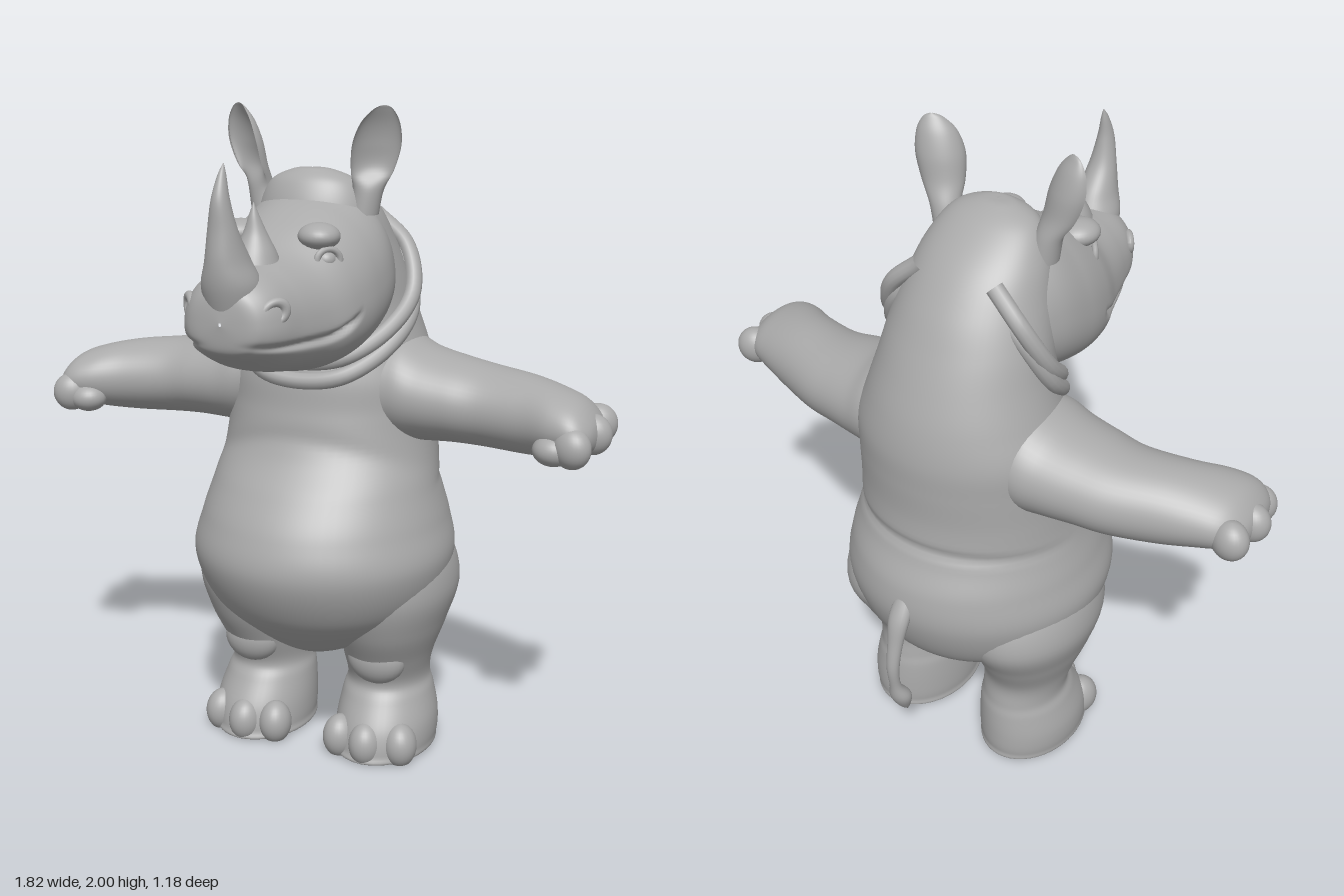
import * as THREE from 'three';

const hide = new THREE.MeshStandardMaterial({ color: 0xaaaaaa });
hide.name = 'grey hide';

// Smooth interpolation through rows of numbers
function rowAt(rows, t) {
  const f = t * (rows.length - 1);
  const i = Math.min(Math.floor(f), rows.length - 2);
  const u = f - i;
  const at = (k) => rows[Math.max(0, Math.min(rows.length - 1, k))];
  return rows[i].map((b, c) => {
    const a = at(i - 1)[c], d = at(i + 1)[c], e = at(i + 2)[c];
    return b + 0.5 * u * (d - a + u * (2 * a - 5 * b + 4 * d - e + u * (3 * (b - d) + e - a)));
  });
}

// Turn the faces outward if the solid came out inside out
function orient(geo) {
  const p = geo.attributes.position, ix = geo.index.array;
  const a = new THREE.Vector3(), b = new THREE.Vector3(), c = new THREE.Vector3();
  let volume = 0;
  for (let i = 0; i < ix.length; i += 3) {
    a.fromBufferAttribute(p, ix[i]);
    b.fromBufferAttribute(p, ix[i + 1]);
    c.fromBufferAttribute(p, ix[i + 2]);
    volume += a.dot(b.cross(c));
  }
  if (volume < 0) for (let i = 0; i < ix.length; i += 3) [ix[i], ix[i + 1]] = [ix[i + 1], ix[i]];
  geo.computeVertexNormals();
  return geo;
}

// Closed skin over cross-sections; place(row, angle) gives a point
function loft(rows, place, along = 40, around = 40) {
  const pos = [], index = [];
  for (let i = 0; i <= along; i++) {
    const row = rowAt(rows, i / along);
    for (let j = 0; j < around; j++) {
      pos.push(...place(row, (j / around) * Math.PI * 2));
      if (i === along) continue;
      const k = i * around + j, n = i * around + ((j + 1) % around);
      index.push(k, n, k + around, n, n + around, k + around);
    }
  }
  const geo = new THREE.BufferGeometry();
  geo.setAttribute('position', new THREE.Float32BufferAttribute(pos, 3));
  geo.setIndex(index);
  return orient(geo);
}

const bump = (d, w) => Math.exp(-(d * d) / (w * w));

function ball(x, y, z, rx, ry, rz, turn = 0) {
  return new THREE.SphereGeometry(1, 28, 18).scale(rx, ry, rz).rotateY(turn).translate(x, y, z);
}

export function createModel() {
  const model = new THREE.Group();
  const add = (name, geo) => {
    const mesh = new THREE.Mesh(geo, hide);
    mesh.name = name;
    model.add(mesh);
  };
  const addPair = (name, geo) => {
    add('left ' + name, geo);
    add('right ' + name, orient(geo.clone().scale(-1, 1, 1)));
  };

  // Torso and neck: height, front z, back z, half width
  const torso = [
    [0.305, -0.06, -0.08, 0.004], [0.33, 0.04, -0.25, 0.12], [0.4, 0.14, -0.37, 0.25],
    [0.5, 0.24, -0.47, 0.36], [0.64, 0.3, -0.525, 0.408], [0.76, 0.275, -0.52, 0.385],
    [0.87, 0.21, -0.475, 0.355], [0.98, 0.13, -0.46, 0.338], [1.1, 0.1, -0.463, 0.33],
    [1.2, 0.09, -0.463, 0.325], [1.3, 0.07, -0.445, 0.29], [1.4, 0.06, -0.41, 0.26],
    [1.5, 0.07, -0.365, 0.24], [1.6, 0.09, -0.31, 0.215], [1.7, 0.09, -0.23, 0.185],
    [1.78, 0.06, -0.13, 0.135], [1.815, 0.02, -0.06, 0.06], [1.82, -0.01, -0.02, 0.004],
  ];
  add('torso', loft(torso, ([y, f, b, w], a) => {
    const s = Math.sin(a);
    const waist = 0.035 * bump(y - 0.87 + 0.03 * s, 0.016) * Math.max(0, -s);
    const chest = 0.02 * bump(y - 1.03 + 0.1 * Math.cos(a) ** 2, 0.03) * Math.max(0, s);
    const k = 1 - waist - chest;
    return [w * k * Math.cos(a), y, (f + b) / 2 + ((f - b) / 2) * k * s];
  }, 140, 64));

  // Head: z, top, bottom, half width; a groove forms the mouth
  const head = [
    [-0.24, 1.53, 1.5, 0.004], [-0.2, 1.66, 1.38, 0.17], [-0.06, 1.77, 1.315, 0.24],
    [0.08, 1.735, 1.275, 0.252], [0.2, 1.68, 1.265, 0.235], [0.3, 1.62, 1.28, 0.2],
    [0.4, 1.6, 1.3, 0.172], [0.48, 1.585, 1.335, 0.15], [0.53, 1.56, 1.36, 0.12],
    [0.555, 1.53, 1.385, 0.08], [0.565, 1.46, 1.45, 0.004],
  ];
  const power = (v, e) => Math.sign(v) * Math.abs(v) ** e;
  add('head', loft(head, ([z, t, b, w], a) => {
    const s = power(Math.sin(a), 0.87), c = power(Math.cos(a), 0.87);
    const y = (t + b) / 2 + ((t - b) / 2) * s;
    const lip = 1.39 + 2.5 * Math.max(0, 0.32 - z) ** 2 + 1.2 * Math.max(0, z - 0.48) ** 2;
    const groove = z > 0.17 ? 0.1 * bump(y - lip, 0.011) * Math.min(1, (z - 0.17) / 0.06) : 0;
    return [w * c * (1 - 0.13 * s) * (1 - groove), y, z];
  }, 110, 160));

  // Horns: height, z, half width, half depth
  const upright = ([y, z, rx, rz], a) => [rx * Math.cos(a), y, z + rz * Math.sin(a)];
  add('large horn', loft([
    [1.47, 0.485, 0.07, 0.07], [1.55, 0.495, 0.08, 0.085], [1.62, 0.515, 0.058, 0.072],
    [1.7, 0.54, 0.04, 0.042], [1.78, 0.55, 0.024, 0.028], [1.84, 0.54, 0.011, 0.014],
    [1.87, 0.53, 0.001, 0.001],
  ], upright));
  add('small horn', loft([
    [1.57, 0.355, 0.075, 0.085], [1.62, 0.355, 0.058, 0.062], [1.67, 0.355, 0.034, 0.034],
    [1.72, 0.36, 0.014, 0.015], [1.755, 0.362, 0.001, 0.001],
  ], upright));

  // Face details
  addPair('eye', ball(0.148, 1.59, 0.22, 0.03, 0.027, 0.03));
  addPair('eyelid', new THREE.TorusGeometry(0.031, 0.009, 10, 28).scale(1.15, 1, 1)
    .rotateY(0.9).translate(0.161, 1.59, 0.229));
  addPair('brow', ball(0.122, 1.652, 0.205, 0.06, 0.038, 0.066, 0.5));
  addPair('nostril rim', new THREE.TorusGeometry(0.028, 0.013, 12, 28).scale(1.2, 0.95, 1)
    .rotateZ(0.4).rotateY(0.85).translate(0.125, 1.485, 0.495));

  // Ears: height, x, z, half width, depth, how far the front bulges or hollows
  const ear = [
    [1.69, 0.155, -0.03, 0.045, 0.045, 1], [1.76, 0.172, -0.025, 0.045, 0.04, 0.8],
    [1.82, 0.195, 0, 0.062, 0.05, -0.5], [1.89, 0.212, 0.012, 0.07, 0.055, -0.7],
    [1.95, 0.222, 0.012, 0.056, 0.04, -0.7], [1.988, 0.228, 0.005, 0.028, 0.015, -0.5],
    [2, 0.23, 0, 0.003, 0.002, 0],
  ];
  const yaw = 0.5;
  addPair('ear', loft(ear, ([y, x, z, w, d, front], a) => {
    const side = w * Math.cos(a), s = Math.sin(a);
    const depth = d * s * (s > 0 ? front : 1);
    return [x + side * Math.cos(yaw) + depth * Math.sin(yaw), y,
      z - side * Math.sin(yaw) + depth * Math.cos(yaw)];
  }));

  // Neck folds
  [[0, 0], [0.055, -0.012]].forEach(([up, back], i) => {
    const half = [[0.13, 1.225, 0.06], [0.23, 1.3, -0.04], [0.262, 1.4, -0.15], [0.215, 1.53, -0.21], [0.12, 1.62, -0.2]];
    const point = ([x, y, z]) => new THREE.Vector3(x, y + up, z + back);
    const mirrored = half.map(([x, y, z]) => [-x, y, z]).reverse();
    const curve = new THREE.CatmullRomCurve3([...mirrored, [0, 1.205, 0.08], ...half].map(point));
    add('neck fold ' + (i + 1), new THREE.TubeGeometry(curve, 70, 0.026, 12));
  });

  // Arms: x, y, z, half height, half depth
  addPair('arm', loft([
    [0.1, 1.17, -0.17, 0.01, 0.01], [0.16, 1.17, -0.17, 0.14, 0.16], [0.25, 1.165, -0.17, 0.162, 0.185],
    [0.33, 1.15, -0.165, 0.143, 0.178], [0.42, 1.142, -0.16, 0.13, 0.165], [0.52, 1.133, -0.152, 0.122, 0.15],
    [0.65, 1.128, -0.115, 0.115, 0.14], [0.75, 1.125, -0.075, 0.1, 0.143], [0.82, 1.12, -0.055, 0.08, 0.132],
    [0.865, 1.11, -0.05, 0.045, 0.09], [0.88, 1.11, -0.05, 0.002, 0.003],
  ], ([x, y, z, ry, rz], a) => [x, y + ry * Math.sin(a), z + rz * Math.cos(a)], 60, 48));
  [[0.84, 1.11, -0.155, 0.3], [0.85, 1.105, -0.05, 0], [0.82, 1.085, 0.052, -0.4]].forEach(([x, y, z, turn], i) =>
    addPair('finger ' + (i + 1), ball(x, y, z, 0.058, 0.06, 0.048, turn)));
  addPair('thumb', ball(0.765, 1.07, 0.04, 0.06, 0.045, 0.055));

  // Legs and feet: height, x, z, half width, half depth
  addPair('leg', loft([
    [0, 0.21, -0.12, 0.004, 0.004], [0, 0.21, -0.12, 0.14, 0.19], [0.03, 0.213, -0.125, 0.155, 0.205],
    [0.1, 0.213, -0.135, 0.155, 0.197], [0.18, 0.207, -0.155, 0.14, 0.17], [0.23, 0.205, -0.163, 0.127, 0.153],
    [0.31, 0.21, -0.145, 0.138, 0.17], [0.42, 0.222, -0.14, 0.165, 0.225], [0.55, 0.22, -0.15, 0.198, 0.275],
    [0.69, 0.19, -0.14, 0.185, 0.25], [0.8, 0.15, -0.14, 0.1, 0.15], [0.83, 0.15, -0.14, 0.004, 0.004],
  ], ([y, x, z, rx, rz], a) => [x + rx * Math.cos(a), Math.max(0, y), z + rz * Math.sin(a)], 70, 48));
  [[0.115, 0.02, -0.3], [0.21, 0.042, 0], [0.31, 0.005, 0.35]].forEach(([x, z, turn], i) => {
    const toe = ball(x, 0.055, z, 0.053, 0.07, 0.06, turn);
    const p = toe.attributes.position;
    for (let k = 0; k < p.count; k++) p.setY(k, Math.max(0, p.getY(k)));
    toe.computeVertexNormals();
    addPair('toe ' + (i + 1), toe);
  });
  addPair('knee', ball(0.215, 0.32, -0.03, 0.095, 0.085, 0.065));

  // Tail with its tuft
  add('tail', loft([
    [0.74, -0.49, 0.03, 0.03], [0.67, -0.535, 0.034, 0.028], [0.59, -0.56, 0.025, 0.022],
    [0.5, -0.578, 0.02, 0.019], [0.42, -0.572, 0.018, 0.017], [0.36, -0.55, 0.034, 0.031],
    [0.31, -0.535, 0.02, 0.02], [0.27, -0.52, 0.001, 0.001],
  ], upright, 40, 20));

  return model;
}
